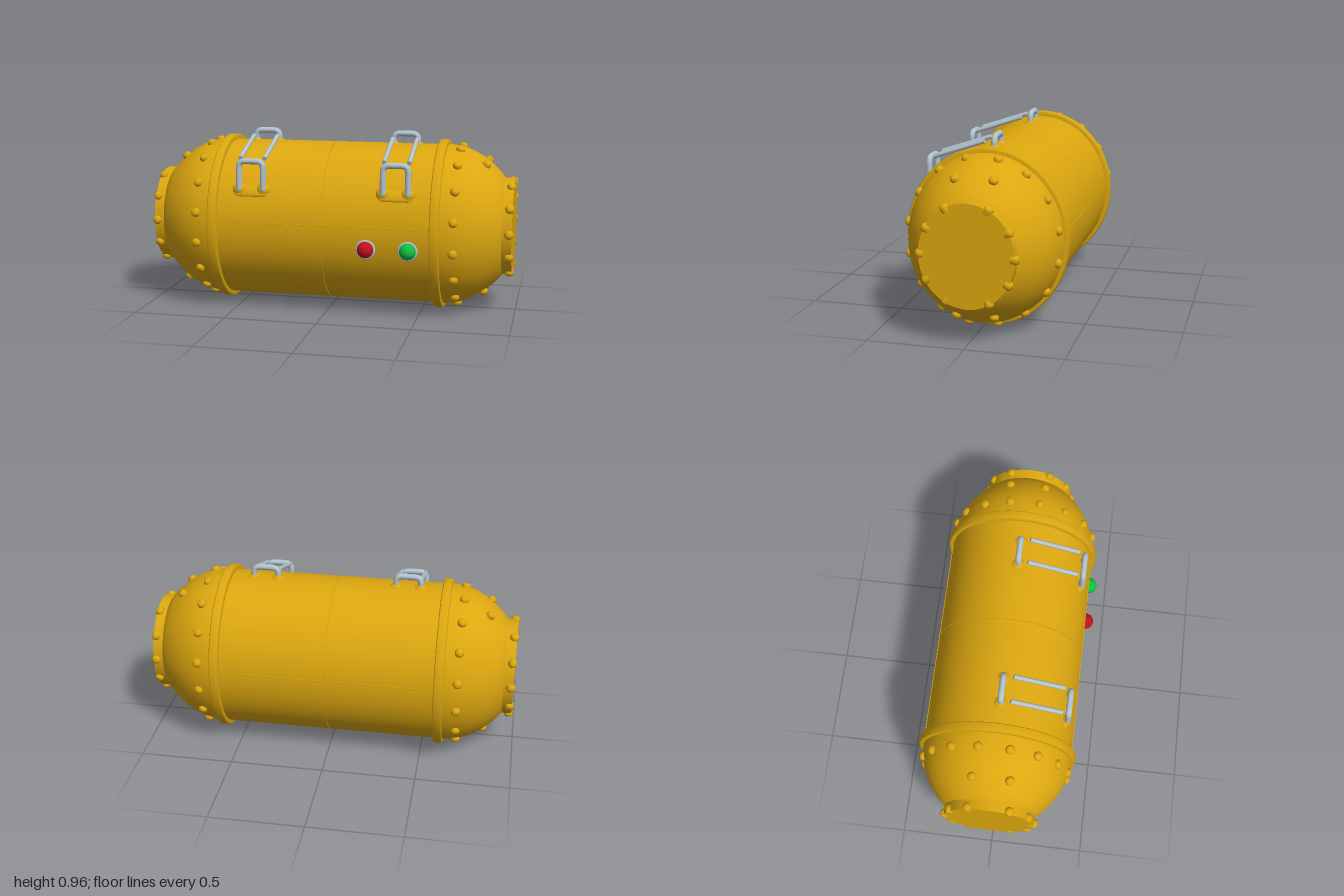
import * as THREE from 'three';

const CY = 0.462, CZ = -0.011, SQ = 0.917; // axis height, axis depth, sideways squash

export function createModel() {
  const mat = (name, color) => {
    const m = new THREE.MeshStandardMaterial({ color });
    m.name = name;
    return m;
  };
  const yellow = mat('yellow paint', 0xdca70f);
  const steel = mat('pale steel', 0xb4c5ce);
  const red = mat('red lamp', 0xc40f1a);
  const green = mat('green lamp', 0x0fc03e);

  const model = new THREE.Group();
  model.name = 'tank';
  const add = (parent, name, geo, material) => {
    const m = new THREE.Mesh(geo, material);
    m.name = name;
    parent.add(m);
    return m;
  };

  // Parts turned about the long axis, slightly taller than deep
  const body = new THREE.Group();
  body.name = 'body';
  body.position.set(0, CY, CZ);
  body.scale.set(1, 1, SQ);
  model.add(body);
  const turned = (pts) => new THREE.LatheGeometry(
    pts.map(([r, x]) => new THREE.Vector2(r, x)), 72).rotateZ(-Math.PI / 2);

  // Barrel in two halves with a fine groove between them
  for (const s of [-1, 1]) {
    const half = new THREE.CylinderGeometry(0.433, 0.433, 0.597, 72).rotateZ(Math.PI / 2);
    add(body, 'barrelHalf', half, yellow).position.x = s * 0.3;
  }
  add(body, 'barrelGroove', new THREE.CylinderGeometry(0.427, 0.427, 0.02, 72).rotateZ(Math.PI / 2), yellow);

  // Long weld seams at mid height
  for (const s of [-1, 1]) {
    add(body, 'weldSeam', new THREE.BoxGeometry(1.14, 0.01, 0.008), yellow).position.set(0, 0.035, s * 0.431);
  }

  const domePoints = [[0.436, 0.6], [0.434, 0.64], [0.423, 0.7], [0.403, 0.755],
    [0.375, 0.805], [0.342, 0.85], [0.3, 0.895], [0.262, 0.927], [0.24, 0.935]];
  const studGeo = new THREE.LatheGeometry([[0.025, -0.015], [0.024, 0.008], [0.019, 0.018], [0.01, 0.022], [0, 0.023]]
    .map(([r, y]) => new THREE.Vector2(r, y)), 12);
  const up = new THREE.Vector3(0, 1, 0);

  // Stud on the shell: angle from the top, radius, distance along the axis, lean toward the end
  const stud = (parent, name, deg, r, x, lean) => {
    const a = THREE.MathUtils.degToRad(deg);
    const m = add(parent, name, studGeo, yellow);
    m.position.set(x, CY + r * Math.cos(a), CZ + SQ * r * Math.sin(a));
    const n = new THREE.Vector3(Math.sin(lean), Math.cos(lean) * Math.cos(a), Math.cos(lean) * Math.sin(a));
    m.quaternion.setFromUnitVectors(up, n.normalize());
  };

  for (const s of [-1, 1]) {
    // Band, dome and end plate
    const end = new THREE.Group();
    end.name = s > 0 ? 'leftEnd' : 'rightEnd';
    end.rotation.y = s > 0 ? 0 : Math.PI;
    body.add(end);
    add(end, 'band', turned([[0.43, 0.57], [0.452, 0.57], [0.459, 0.576], [0.459, 0.614], [0.452, 0.62], [0.43, 0.62]]), yellow);
    add(end, 'dome', turned(domePoints), yellow);
    add(end, 'endPlate', new THREE.CylinderGeometry(0.262, 0.262, 0.06, 40).rotateZ(Math.PI / 2), yellow).position.x = 0.95;

    // Stud rows
    const studs = new THREE.Group();
    studs.name = 'studs';
    model.add(studs);
    for (let i = 0; i < 16; i++) stud(studs, 'domeStud', 12 + i * 22.4, 0.424, s * 0.69, s * 0.2);
    for (const d of [17, 163, 197, 343]) stud(studs, 'upperDomeStud', d, 0.358, s * 0.83, s * 0.65);
    for (const d of [27, 60, 90, 120, 153, 207, 240, 270, 300, 333]) stud(studs, 'plateStud', d, 0.257, s * 0.965, s * 0.25);
  }

  // U-shaped rail: legs drop from a rounded crossbar
  const uRail = (w, h, r) => {
    const path = new THREE.CurvePath();
    const v = (x, y) => new THREE.Vector3(x, y, 0);
    const c = 0.035;
    path.add(new THREE.LineCurve3(v(-w, -h), v(-w, -c)));
    path.add(new THREE.QuadraticBezierCurve3(v(-w, -c), v(-w, 0), v(c - w, 0)));
    path.add(new THREE.LineCurve3(v(c - w, 0), v(w - c, 0)));
    path.add(new THREE.QuadraticBezierCurve3(v(w - c, 0), v(w, 0), v(w, -c)));
    path.add(new THREE.LineCurve3(v(w, -c), v(w, -h)));
    return new THREE.TubeGeometry(path, 60, r, 10);
  };
  const bar = (parent, a, b, r) => {
    const m = add(parent, 'slopingBar', new THREE.CylinderGeometry(r, r, a.distanceTo(b), 10), steel);
    m.position.copy(a).lerp(b, 0.5);
    m.quaternion.setFromUnitVectors(up, b.clone().sub(a).normalize());
  };

  // Two sets of grab rails
  for (const s of [-1, 1]) {
    const rails = new THREE.Group();
    rails.name = s > 0 ? 'leftRails' : 'rightRails';
    rails.position.x = s * 0.387;
    model.add(rails);
    add(rails, 'topRail', uRail(0.066, 0.09, 0.016), steel).position.set(0, 0.95, -0.006);
    add(rails, 'frontRail', uRail(0.066, 0.15, 0.016), steel).position.set(0, 0.824, 0.344);
    for (const t of [-1, 1]) {
      const x = t * 0.066;
      bar(rails, new THREE.Vector3(x, 0.835, 0.312), new THREE.Vector3(x, 0.925, 0.045), 0.012);
      const foot = add(rails, 'railFoot', new THREE.SphereGeometry(0.026, 14, 10), steel);
      foot.position.set(x, 0.678, 0.338);
      foot.scale.set(0.8, 1, 0.8);
      const boss = add(rails, 'railBoss', new THREE.SphereGeometry(0.04, 16, 10), yellow);
      boss.position.set(x, 0.668, 0.33);
      boss.scale.set(1, 0.9, 0.65);
      const topBoss = add(rails, 'topBoss', new THREE.SphereGeometry(0.032, 16, 10), yellow);
      topBoss.position.set(x, 0.892, -0.006);
      topBoss.scale.y = 0.45;
    }
    const pad = add(rails, 'railPad', new THREE.CapsuleGeometry(0.035, 0.13, 6, 16).rotateZ(Math.PI / 2), yellow);
    pad.position.set(0, 0.665, 0.334);
    pad.rotation.x = -0.55;
    pad.scale.z = 0.35;
  }

  // Signal lamps in pale rims
  for (const [name, x, m] of [['redLamp', 0.238, red], ['greenLamp', 0.46, green]]) {
    add(model, name, new THREE.SphereGeometry(0.043, 24, 16), m).position.set(x, 0.385, 0.392);
    add(model, name + 'Rim', new THREE.TorusGeometry(0.045, 0.008, 10, 28), steel).position.set(x, 0.385, 0.382);
  }
  return model;
}
